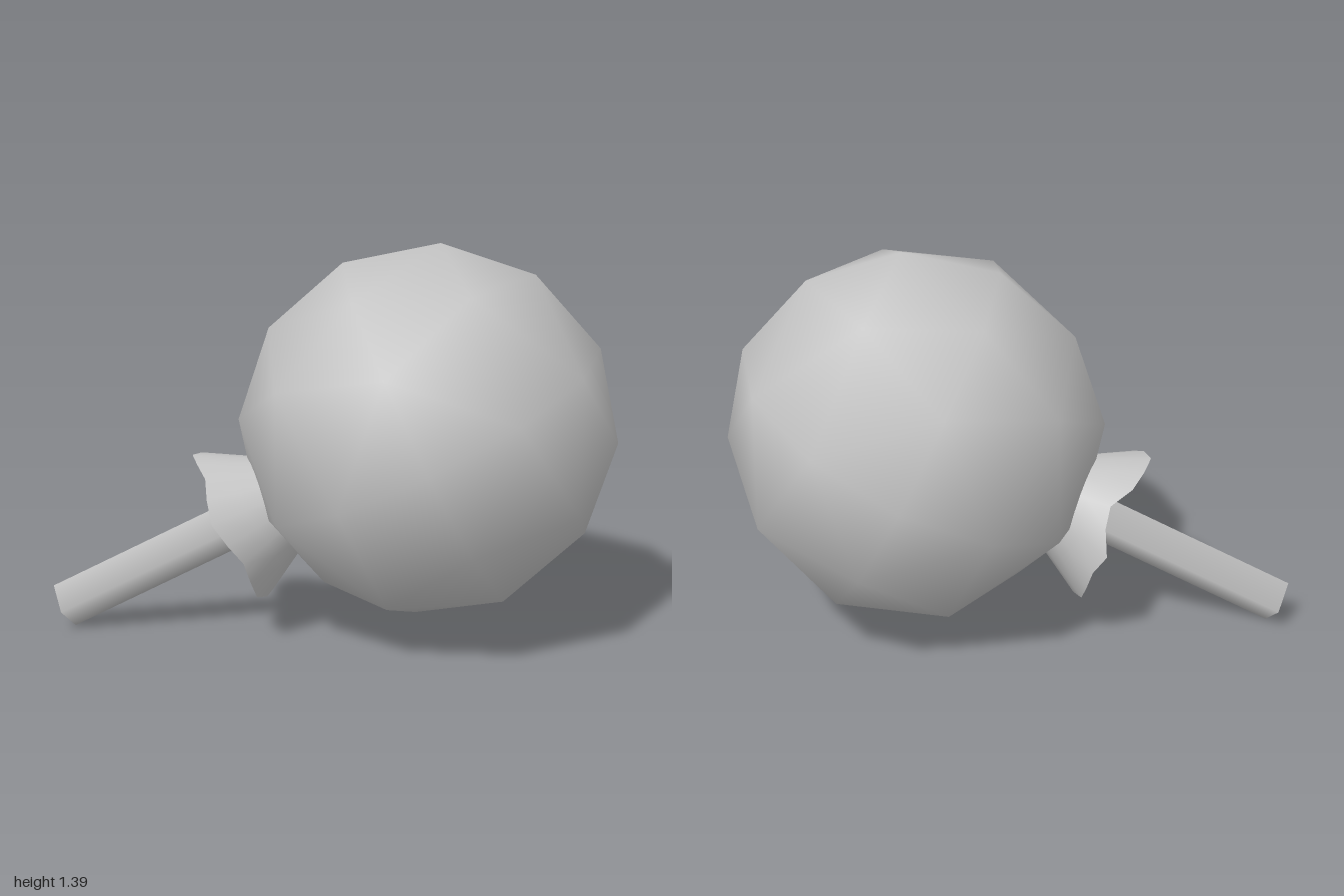
import * as THREE from 'three';

const RADIUS = 0.665;

// Ball made of eight mirrored spherical triangles, three steps per edge
function ballGeometry() {
  const positions = [], normals = [];
  const point = (i, j, k) => {
    if (i === 1 && j === 1 && k === 1) return new THREE.Vector3(0.547, 0.632, 0.55).normalize();
    return new THREE.Vector3(...[i, j, k].map((n) => Math.sin((n * Math.PI) / 6))).normalize();
  };
  const addFace = (corners, signs) => {
    const flip = signs.x * signs.y * signs.z < 0;
    const order = flip ? [0, 2, 1] : [0, 1, 2];
    for (const n of order) {
      const v = corners[n].clone().multiply(signs);
      normals.push(v.x, v.y, v.z);
      positions.push(v.x * RADIUS, v.y * RADIUS, v.z * RADIUS);
    }
  };
  for (const sx of [1, -1]) for (const sy of [1, -1]) for (const sz of [1, -1]) {
    const signs = new THREE.Vector3(sx, sy, sz);
    for (let i = 0; i < 3; i++) for (let j = 0; i + j < 3; j++) {
      const k = 3 - i - j;
      addFace([point(i + 1, j, k - 1), point(i, j + 1, k - 1), point(i, j, k)], signs);
      if (k > 1) {
        addFace([point(i + 1, j, k - 1), point(i + 1, j + 1, k - 2), point(i, j + 1, k - 1)], signs);
      }
    }
  }
  const g = new THREE.BufferGeometry();
  g.setAttribute('position', new THREE.Float32BufferAttribute(positions, 3));
  g.setAttribute('normal', new THREE.Float32BufferAttribute(normals, 3));
  return g;
}

// Fluted wrapper skirt flaring along the stick, with a fold notched into one side
function wrapperGeometry() {
  const sides = 20, rows = 2, positions = [], index = [];
  for (let r = 0; r <= rows; r++) {
    const t = r / rows;
    for (let a = 0; a < sides; a++) {
      const phi = (a / sides) * Math.PI * 2;
      const wave = Math.cos(5 * phi);
      const away = Math.abs(Math.atan2(Math.sin(phi + 1.1), Math.cos(phi + 1.1)));
      const notch = Math.max(0, 1 - away / 0.5) * 0.1;
      const rim = 0.765 + 0.016 * wave - notch;
      const along = THREE.MathUtils.lerp(0.54, rim, t);
      const radius = THREE.MathUtils.lerp(0.155, 0.282 + 0.008 * wave - notch * 0.5, t);
      positions.push(-along, radius * Math.cos(phi), radius * Math.sin(phi));
    }
  }
  for (let r = 0; r < rows; r++) for (let a = 0; a < sides; a++) {
    const b = (a + 1) % sides;
    const p = r * sides + a, q = r * sides + b;
    index.push(p, p + sides, q, q, p + sides, q + sides);
  }
  const g = new THREE.BufferGeometry();
  g.setAttribute('position', new THREE.Float32BufferAttribute(positions, 3));
  g.setIndex(index);
  g.computeVertexNormals();
  return g;
}

export function createModel() {
  const grey = new THREE.MeshStandardMaterial({ color: 0xc4c4c4, side: THREE.DoubleSide });
  grey.name = 'grey';
  const model = new THREE.Group();
  model.name = 'lollipop';
  const add = (name, geometry) => {
    const mesh = new THREE.Mesh(geometry, grey);
    mesh.name = name;
    model.add(mesh);
    return mesh;
  };

  add('candyBall', ballGeometry());
  add('wrapperSkirt', wrapperGeometry());

  // Four-sided stick running from inside the ball to the tip
  const start = 0.55, end = 1.453;
  const stick = add('stick', new THREE.CylinderGeometry(0.083, 0.083, end - start, 4));
  stick.rotation.z = Math.PI / 2;
  stick.position.x = -(start + end) / 2;

  // Tilt the whole sweet so the stick tip rests on the ground
  model.rotation.z = THREE.MathUtils.degToRad(26.8);
  model.position.set(0.335, 0.735, 0);
  const root = new THREE.Group();
  root.name = 'tiltedLollipop';
  root.add(model);
  return root;
}
